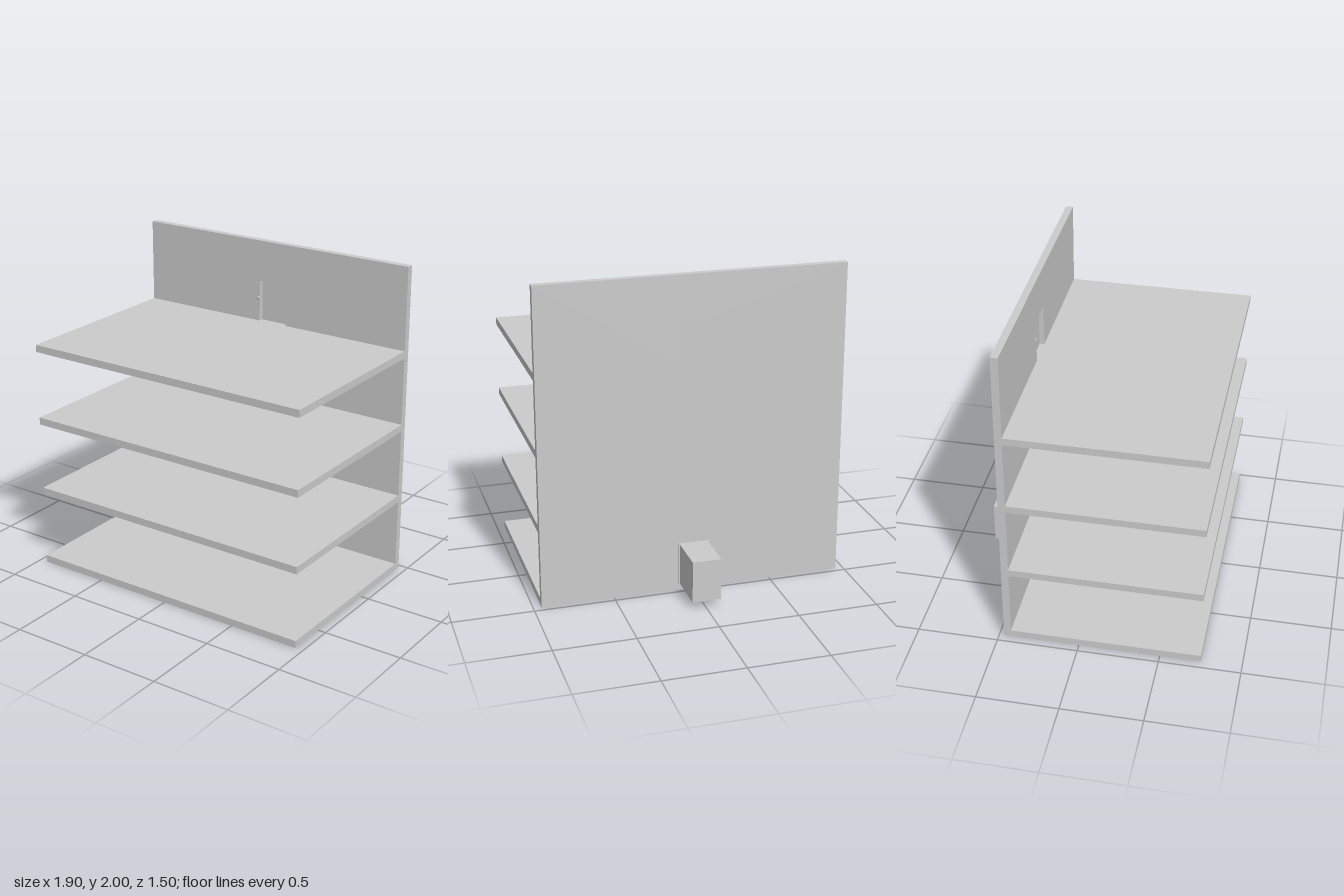
import * as THREE from 'three';

export function createModel() {
  const model = new THREE.Group();
  const material = new THREE.MeshStandardMaterial({ color: 0xcccccc });
  const add = (geometry, name, x, y, z) => {
    const mesh = new THREE.Mesh(geometry, material);
    mesh.name = name;
    mesh.position.set(x, y, z);
    model.add(mesh);
    return mesh;
  };

  const halfWidth = 0.95, wallFront = -0.425, wallBack = -0.47, front = 0.75;
  const slab = 0.046, doorLeft = -0.1, doorRight = 0.095, doorHeight = 0.265;
  const doorX = (doorLeft + doorRight) / 2, doorWidth = doorRight - doorLeft;
  const floorTops = [slab, 0.523, 0.999, 1.475];

  // Back wall with a doorway on every storey
  const wall = new THREE.Shape([
    new THREE.Vector2(-halfWidth, 0), new THREE.Vector2(halfWidth, 0),
    new THREE.Vector2(halfWidth, 2), new THREE.Vector2(-halfWidth, 2),
  ]);
  for (const y of floorTops) {
    const r = 0.006, top = y + doorHeight;
    const hole = new THREE.Path();
    hole.moveTo(doorLeft, y);
    hole.lineTo(doorLeft, top - r);
    hole.quadraticCurveTo(doorLeft, top, doorLeft + r, top);
    hole.lineTo(doorRight - r, top);
    hole.quadraticCurveTo(doorRight, top, doorRight, top - r);
    hole.lineTo(doorRight, y);
    hole.closePath();
    wall.holes.push(hole);
  }
  const wallGeometry = new THREE.ExtrudeGeometry(wall, {
    depth: wallFront - wallBack, bevelEnabled: false, curveSegments: 4,
  });
  add(wallGeometry, 'backWall', 0, 0, wallBack);

  floorTops.forEach((y, i) => {
    // Floor slab
    const depth = front - wallFront;
    add(new THREE.BoxGeometry(halfWidth * 2, slab, depth), 'floor' + i,
      0, y - slab / 2, (front + wallFront) / 2);

    // Recessed door; the lowest one sits behind the wall, against the cabin
    const leaf = 0.015;
    const doorBack = i === 0 ? wallBack - leaf : wallBack;
    add(new THREE.BoxGeometry(doorWidth, doorHeight, leaf), 'door' + i,
      doorX, y + doorHeight / 2, doorBack + leaf / 2);

    // Flattened call button beside the door
    const button = add(new THREE.SphereGeometry(0.012, 20, 12), 'callButton' + i,
      -0.113, y + 0.15, wallFront);
    button.scale.z = 0.45;
  });

  // Lift cabin behind the ground floor
  const cabinBack = -0.75, cabinFront = wallBack - 0.015;
  add(new THREE.BoxGeometry(0.178, doorHeight, cabinFront - cabinBack), 'cabin',
    doorX, slab + doorHeight / 2, (cabinFront + cabinBack) / 2);

  return model;
}
